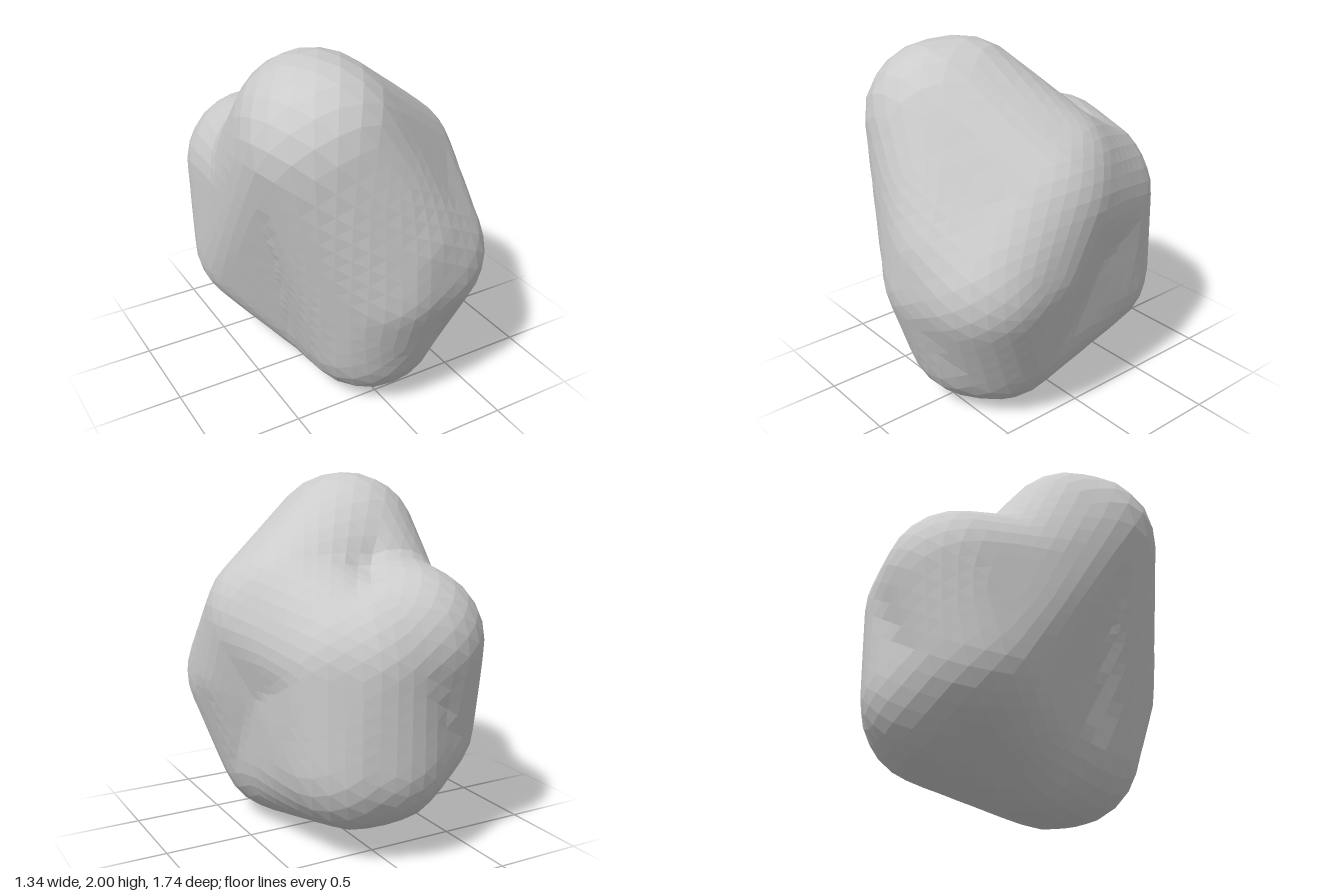
import * as THREE from 'three';

const v = (x, y, z) => new THREE.Vector3(x, y, z);

// Centres of the boulder's rounded lumps
const P = {
  top: v(-0.26, 1.585, 0.33),
  topBack: v(-0.24, 1.59, 0.22),
  saddle: v(-0.26, 1.2, -0.07),
  right: v(0.26, 1.22, 0.09),
  shoulder: v(0.19, 1.28, -0.01),
  side: v(0.26, 0.93, 0.26),
  frontRight: v(0.25, 0.84, 0.43),
  front: v(0.04, 0.8, 0.46),
  frontHigh: v(0.07, 1.01, 0.45),
  base: v(0.04, 0.41, 0.33),
  baseRight: v(0.12, 0.41, 0.27),
  baseBack: v(0.02, 0.41, 0.09),
  hollow: v(0.13, 0.88, -0.04),
  backLeftLow: v(-0.26, 0.66, -0.35),
  backLeftHigh: v(-0.235, 1.14, -0.45),
  backLow: v(-0.04, 0.57, -0.46),
  backRightLow: v(0.07, 0.55, -0.42),
  backRightHigh: v(0.09, 1.06, -0.39),
  backHigh: v(0.0, 1.06, -0.46),
};

// Thick rounded slabs that join the lumps
const slabs = [
  // left face and neck
  ['top', 'backLeftLow', 'baseBack'],
  ['top', 'baseBack', 'base'],
  ['top', 'topBack', 'saddle'],
  ['saddle', 'backLeftHigh', 'backLeftLow'],
  ['saddle', 'shoulder', 'backLeftLow'],
  // front
  ['top', 'frontHigh', 'front'],
  ['top', 'front', 'base'],
  ['top', 'right', 'frontHigh'],
  ['topBack', 'shoulder', 'right'],
  ['frontHigh', 'front', 'frontRight'],
  ['frontHigh', 'right', 'frontRight'],
  ['front', 'frontRight', 'baseRight'],
  ['front', 'base', 'baseRight'],
  // right ridge
  ['right', 'side', 'frontRight'],
  ['side', 'frontRight', 'baseRight'],
  ['right', 'shoulder', 'backRightHigh'],
  // right hollow
  ['hollow', 'right', 'side'],
  ['hollow', 'side', 'baseRight'],
  ['hollow', 'right', 'backRightHigh'],
  ['hollow', 'backRightHigh', 'backRightLow'],
  ['hollow', 'backRightLow', 'baseRight'],
  // back
  ['backLeftLow', 'backLeftHigh', 'backHigh'],
  ['backLeftLow', 'backLow', 'backHigh'],
  ['backHigh', 'backLow', 'backRightLow'],
  ['backHigh', 'backRightHigh', 'backRightLow'],
  ['shoulder', 'backRightHigh', 'backLeftLow'],
  // underside
  ['baseBack', 'backLow', 'backLeftLow'],
  ['baseBack', 'backLow', 'backRightLow'],
  ['baseRight', 'baseBack', 'backRightLow'],
  ['baseRight', 'baseBack', 'base'],
].map((names) => new THREE.Triangle(...names.map((n) => P[n])));

const RADIUS = 0.412;
const near = v(0, 0, 0);

// Distance to the union of the slabs
const distance = (p) =>
  Math.min(...slabs.map((s) => s.closestPointToPoint(p, near).distanceTo(p))) - RADIUS;

export function createModel() {
  const group = new THREE.Group();
  group.name = 'boulder';

  // Shrink a faceted ball onto the lumps
  const geometry = new THREE.IcosahedronGeometry(1, 10);
  const pos = geometry.attributes.position;
  const centre = v(0, 0.95, 0);
  const dir = v(0, 0, 0);
  const p = v(0, 0, 0);
  for (let i = 0; i < pos.count; i++) {
    dir.fromBufferAttribute(pos, i).normalize();
    let t = 1.6;
    for (let step = 0; step < 60; step++) {
      const d = distance(p.copy(centre).addScaledVector(dir, t));
      if (d < 0.0005) break;
      t -= d;
    }
    pos.setXYZ(i, ...p.copy(centre).addScaledVector(dir, t));
  }
  geometry.computeVertexNormals();

  const rock = new THREE.Mesh(
    geometry,
    new THREE.MeshStandardMaterial({ color: 0xcccccc, flatShading: true })
  );
  rock.name = 'rock';
  group.add(rock);
  return group;
}
